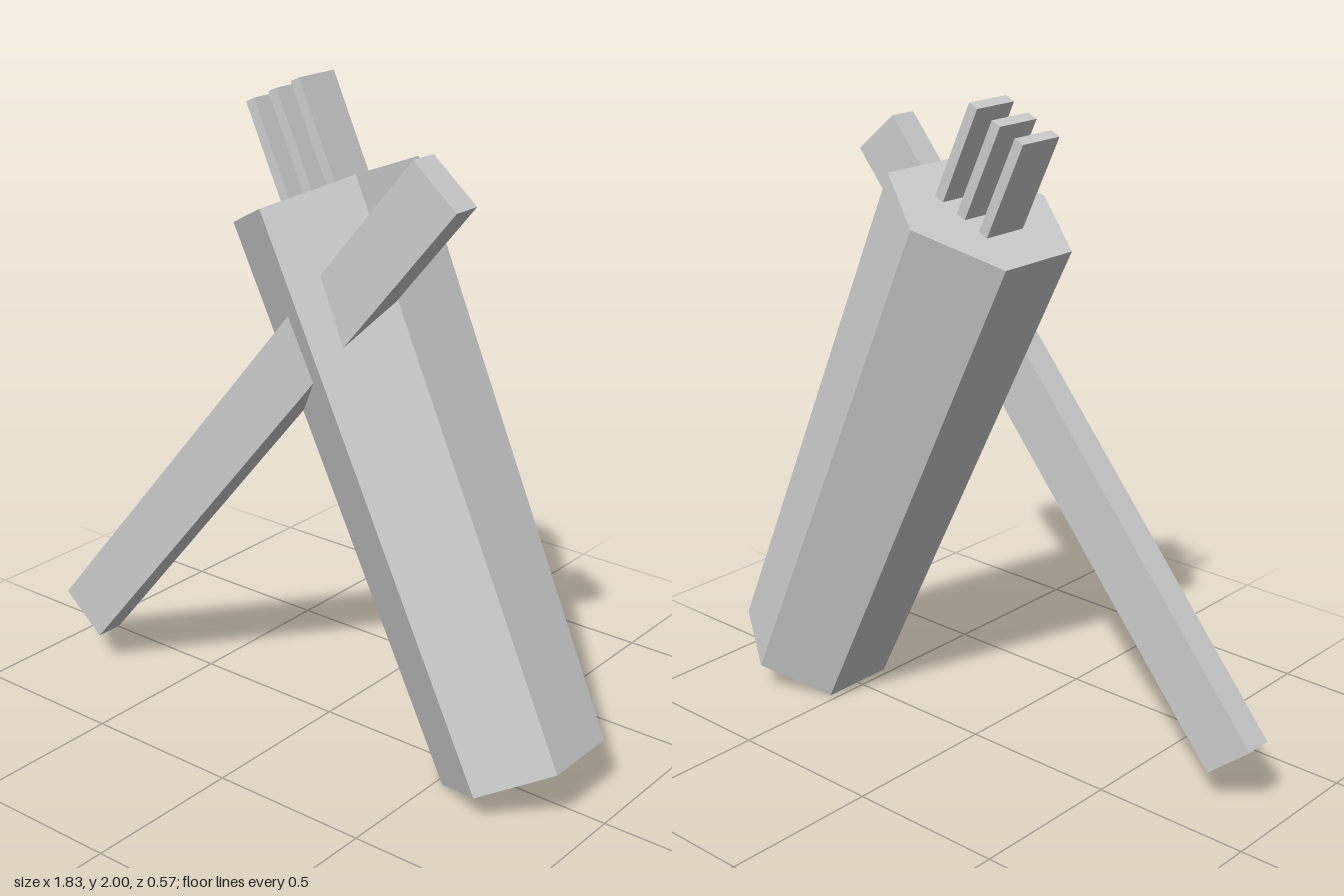
import * as THREE from 'three';

export function createModel() {
  const model = new THREE.Group();
  const grey = new THREE.MeshStandardMaterial({ color: 0xcccccc, flatShading: true });
  grey.name = 'light grey';

  const add = (parent, name, geometry, x, y, z) => {
    const mesh = new THREE.Mesh(geometry, grey);
    mesh.name = name;
    mesh.position.set(x, y, z);
    parent.add(mesh);
    return mesh;
  };

  // Leaning tapered hexagonal body, with its origin at the middle of the top
  const length = 1.745;
  const trunk = new THREE.Group();
  trunk.name = 'trunk';
  trunk.position.set(-0.017, 1.678, -0.001);
  trunk.rotation.z = THREE.MathUtils.degToRad(24.9);
  model.add(trunk);
  add(trunk, 'body', new THREE.CylinderGeometry(0.283, 0.247, length, 6), 0, -length / 2, 0);

  // Three thin prongs standing on the top
  const prongHeight = 0.307;
  for (const i of [-1, 0, 1]) {
    add(trunk, 'prong', new THREE.BoxGeometry(0.033, prongHeight, 0.153), i * 0.091, prongHeight / 2, -0.003);
  }

  // Slanted plank crossing the front of the body
  const plank = add(model, 'crossPlank', new THREE.BoxGeometry(2.147, 0.184, 0.09), -0.16, 0.992, 0.184);
  plank.rotation.z = THREE.MathUtils.degToRad(50);

  return model;
}
